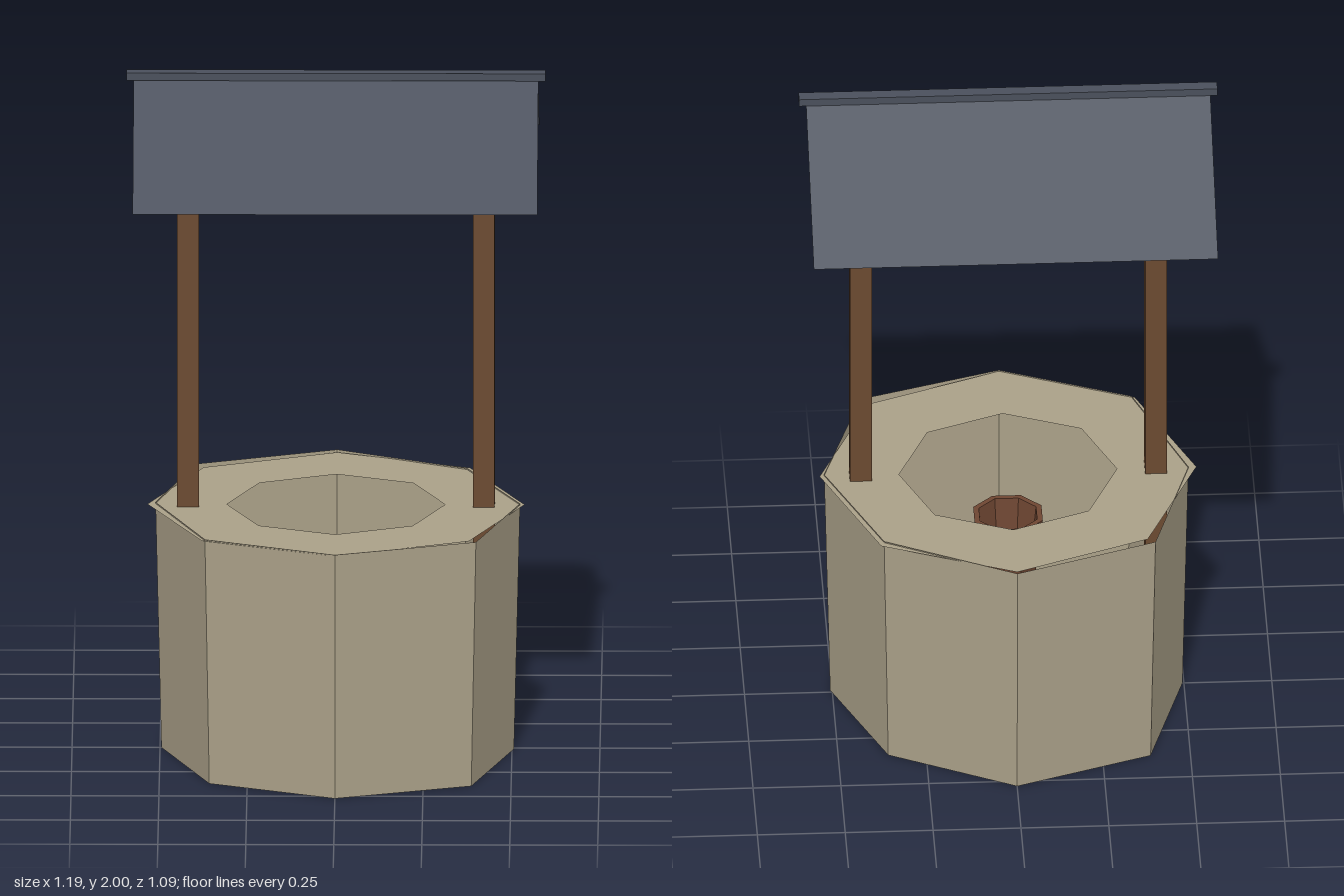
import * as THREE from 'three';

const mat = (name, color, side = THREE.FrontSide) => {
  const m = new THREE.MeshStandardMaterial({ color, side, flatShading: true });
  m.name = name;
  return m;
};

export function createModel() {
  const group = new THREE.Group();
  const stone = mat('stone', 0xaaa088, THREE.DoubleSide);
  const wood = mat('wood', 0x6b4a30);
  const bucketWood = mat('bucket wood', 0x6e4632, THREE.DoubleSide);
  const slate = mat('slate', 0x4a505c, THREE.DoubleSide);
  const water = mat('dark water', 0x16181a, THREE.DoubleSide);

  const add = (name, geometry, material, x = 0, y = 0, z = 0) => {
    const mesh = new THREE.Mesh(geometry, material);
    mesh.name = name;
    mesh.position.set(x, y, z);
    group.add(mesh);
    return mesh;
  };
  const zc = 0.006; // depth of the centre line

  // Slightly irregular eight-sided wall, flaring towards the top
  const plan = [[0, 0.542], [0.4, 0.407], [0.523, 0.01], [0.37, -0.355],
    [0, -0.545], [-0.4, -0.395], [-0.513, 0], [-0.37, 0.385]];
  const height = 0.725;
  const wall = [];
  plan.forEach(([x0, z0], i) => {
    const [x1, z1] = plan[(i + 1) % plan.length];
    const s = 0.967;
    const b0 = [x0 * s, 0, z0 * s], b1 = [x1 * s, 0, z1 * s];
    const t0 = [x0, height, z0], t1 = [x1, height, z1];
    wall.push(...b0, ...b1, ...t1, ...b0, ...t1, ...t0);
  });
  const wallGeometry = new THREE.BufferGeometry();
  wallGeometry.setAttribute('position', new THREE.Float32BufferAttribute(wall, 3));
  wallGeometry.computeVertexNormals();
  add('wall', wallGeometry, stone);

  // Flat rim with an eight-sided opening
  add('rim', new THREE.RingGeometry(0.31, 0.536, 8, 1).rotateX(-Math.PI / 2), stone, 0, 0.721, zc);

  // Water surface inside the shaft
  add('water', new THREE.CircleGeometry(0.31, 8).rotateX(-Math.PI / 2), water, 0, 0.18, zc);

  // Bucket hanging in the shaft
  const bucketProfile = [[0, 0.38], [0.08, 0.38], [0.105, 0.58], [0.088, 0.58], [0.07, 0.4], [0, 0.4]]
    .map(([r, y]) => new THREE.Vector2(r, y));
  add('bucket', new THREE.LatheGeometry(bucketProfile, 8, Math.PI / 8), bucketWood, 0, 0, zc);

  // Posts and cross beam
  for (const side of [-1, 1]) {
    add(side > 0 ? 'leftPost' : 'rightPost', new THREE.BoxGeometry(0.062, 1.68, 0.062), wood, side * 0.42, 0.84, zc);
  }
  add('crossBeam', new THREE.BoxGeometry(0.93, 0.065, 0.066), wood, 0, 1.641, zc);

  // Two thin roof slopes and the ridge cap
  const run = 0.465, drop = 0.275;
  for (const side of [-1, 1]) {
    const slope = new THREE.PlaneGeometry(1.15, Math.hypot(run, drop));
    slope.rotateX(-Math.PI / 2 + side * Math.atan2(drop, run));
    add(side > 0 ? 'frontRoof' : 'backRoof', slope, slate, 0, 1.985 - drop / 2, zc + side * run / 2);
  }
  add('ridgeCap', new THREE.BoxGeometry(1.19, 0.022, 0.038), slate, 0, 1.989, zc);

  return group;
}
